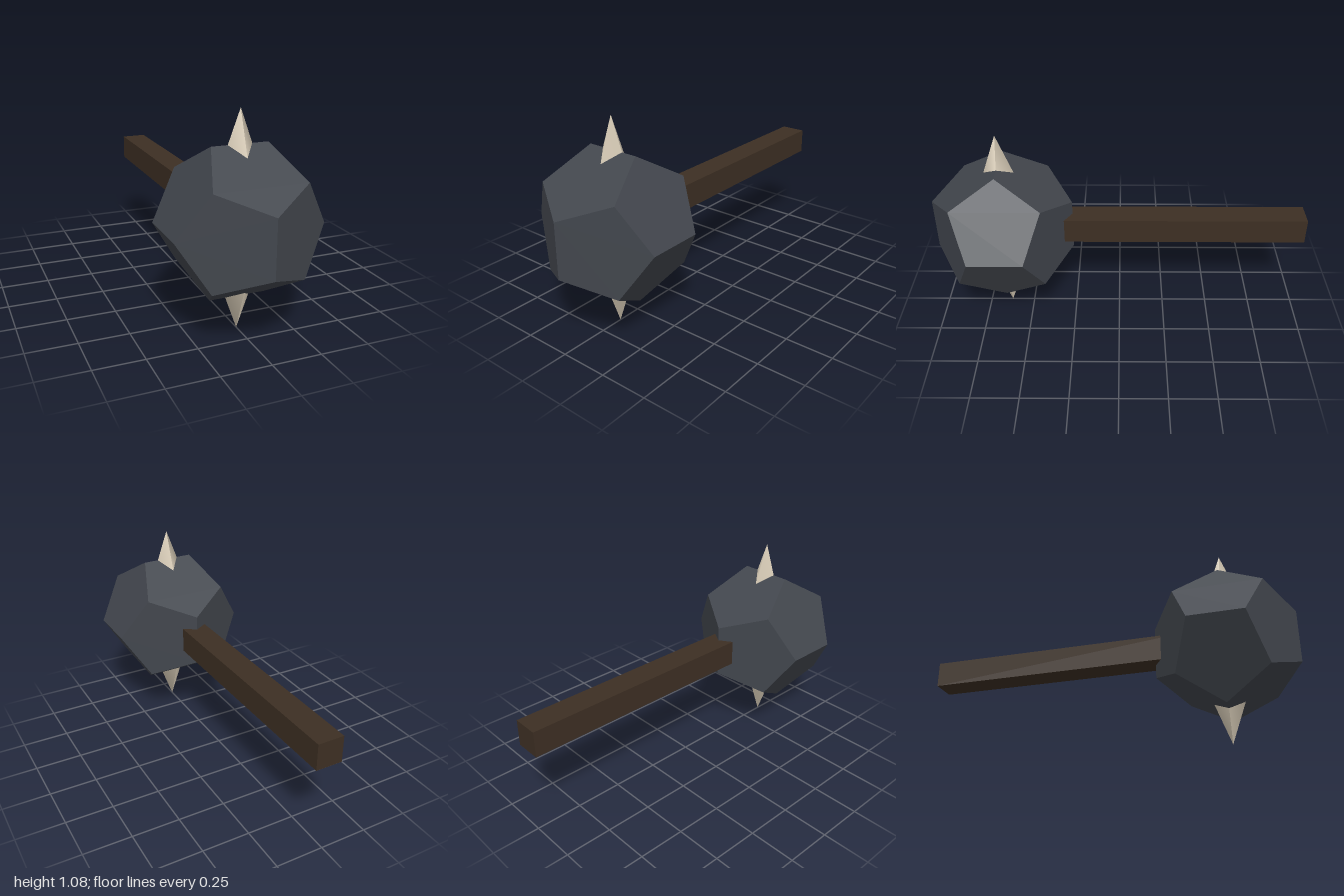
import * as THREE from 'three';

const CENTER_Y = 0.541, HEAD_Z = 0.627;

export function createModel() {
  const group = new THREE.Group();
  const stone = new THREE.MeshStandardMaterial({ color: 0x42464d, flatShading: true });
  const wood = new THREE.MeshStandardMaterial({ color: 0x3d2f23 });
  const bone = new THREE.MeshStandardMaterial({ color: 0xd9cdb8 });

  const add = (name, geometry, material, y, z) => {
    const mesh = new THREE.Mesh(geometry, material);
    mesh.name = name;
    mesh.position.set(0, y, z);
    group.add(mesh);
    return mesh;
  };

  // Faceted twelve-sided head
  add('head', new THREE.DodecahedronGeometry(0.4), stone, CENTER_Y, HEAD_Z);

  // Square handle running back from the head, its front end buried inside
  const start = -1, end = 0.43;
  add('handle', new THREE.BoxGeometry(0.138, 0.138, end - start), wood, CENTER_Y, (start + end) / 2);

  // Four-sided spikes on the top and bottom, sunk into the head
  const height = 0.275;
  for (const [name, side] of [['topSpike', 1], ['bottomSpike', -1]]) {
    const spike = add(name, new THREE.ConeGeometry(0.1, height, 4), bone,
      CENTER_Y + side * (CENTER_Y - height / 2), HEAD_Z);
    if (side < 0) spike.rotation.x = Math.PI;
  }
  return group;
}
